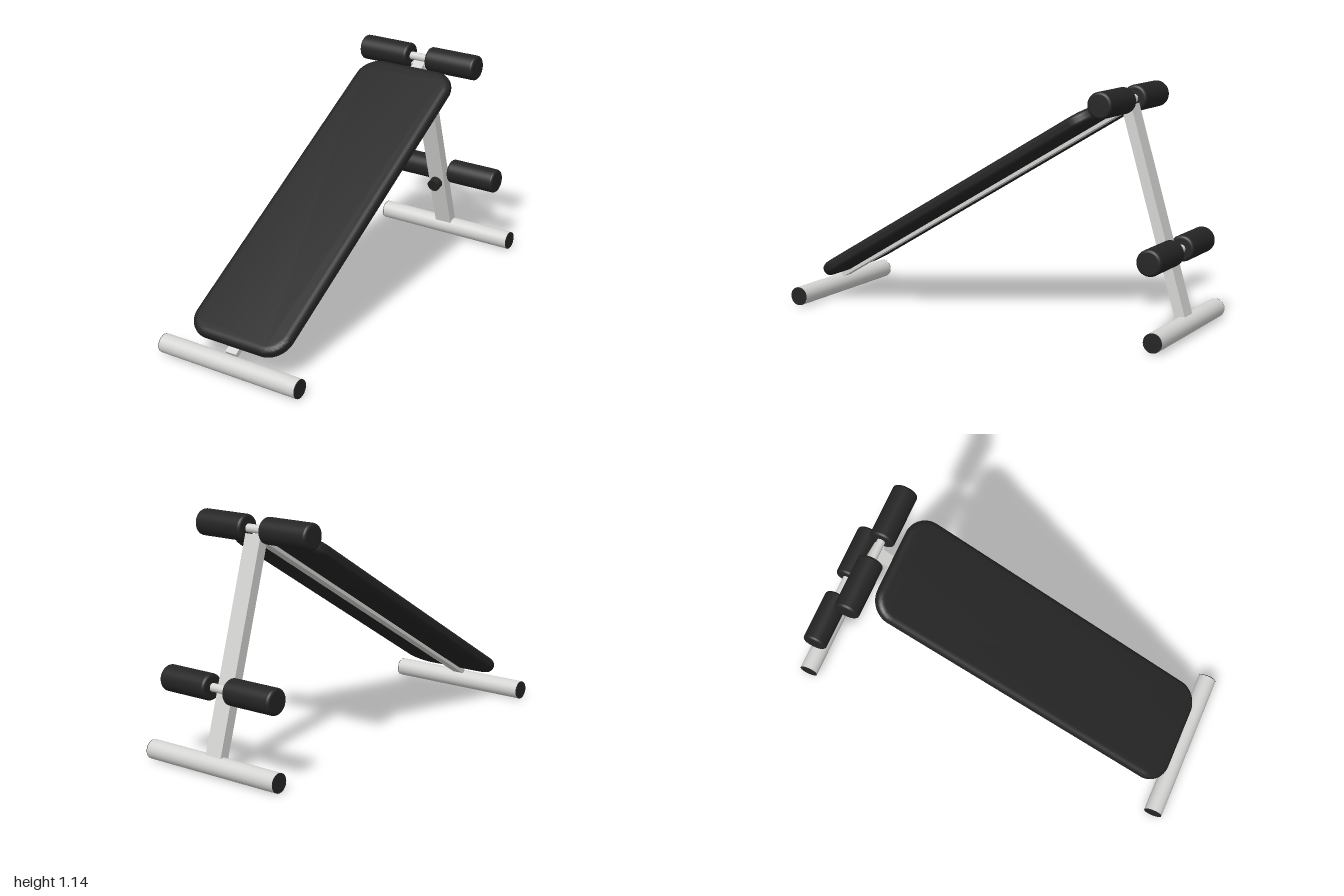
import * as THREE from 'three';
import { toCreasedNormals } from 'three/addons/utils/BufferGeometryUtils.js';

const black = new THREE.MeshStandardMaterial({ color: 0x242424 });
black.name = 'black padding';
const steel = new THREE.MeshStandardMaterial({ color: 0xd4d4d2 });
steel.name = 'bright steel';

const CX = -0.005; // centre of the frame across the width

function add(parent, name, geometry, material, x = 0, y = 0, z = 0) {
  const mesh = new THREE.Mesh(geometry, material);
  mesh.name = name;
  mesh.position.set(x, y, z);
  parent.add(mesh);
  return mesh;
}

// Cylinder lying along x
function rod(radius, length) {
  return new THREE.CylinderGeometry(radius, radius, length, 32).rotateZ(Math.PI / 2);
}

// Foam roller along x with softly rounded rims
function rollerGeometry(radius, length) {
  const h = length / 2, b = 0.014;
  const profile = [[0, -h], [radius - b, -h]];
  for (let i = 1; i <= 4; i++) {
    const a = (i / 4) * Math.PI / 2;
    profile.push([radius - b + b * Math.sin(a), -h + b - b * Math.cos(a)]);
  }
  for (let i = 0; i <= 4; i++) {
    const a = (i / 4) * Math.PI / 2;
    profile.push([radius - b + b * Math.cos(a), h - b + b * Math.sin(a)]);
  }
  profile.push([0, h]);
  const points = profile.map(([x, y]) => new THREE.Vector2(x, y));
  return new THREE.LatheGeometry(points, 32).rotateZ(Math.PI / 2);
}

// Cushion: rounded rectangle with a fully rounded edge
function padGeometry(width, length, thickness, corner) {
  const edge = thickness / 2 - 0.002;
  const w = width / 2 - edge, l = length / 2 - edge, r = corner - edge;
  const s = new THREE.Shape();
  s.moveTo(-w + r, -l);
  s.lineTo(w - r, -l);
  s.absarc(w - r, -l + r, r, -Math.PI / 2, 0);
  s.lineTo(w, l - r);
  s.absarc(w - r, l - r, r, 0, Math.PI / 2);
  s.lineTo(-w + r, l);
  s.absarc(-w + r, l - r, r, Math.PI / 2, Math.PI);
  s.lineTo(-w, -l + r);
  s.absarc(-w + r, -l + r, r, Math.PI, Math.PI * 1.5);
  const g = new THREE.ExtrudeGeometry(s, {
    depth: 0.004, bevelEnabled: true, bevelSize: edge, bevelThickness: edge,
    bevelSegments: 6, curveSegments: 12,
  });
  g.translate(0, 0, -0.002);
  return toCreasedNormals(g, 0.7);
}

export function createModel() {
  const model = new THREE.Group();
  model.name = 'inclinedBench';

  // Floor tubes with dark end caps
  for (const [name, z] of [['frontFoot', 0.954], ['rearFoot', -0.954]]) {
    const foot = new THREE.Group();
    foot.name = name;
    foot.position.set(0, 0.046, z);
    add(foot, 'footTube', rod(0.046, 0.766), steel);
    for (const side of [-1, 1]) add(foot, 'footCap', rod(0.0455, 0.006), black, side * 0.383);
    model.add(foot);
  }

  // Sloping seat: cushion and the beam under it
  const seat = new THREE.Group();
  seat.name = 'slopingSeat';
  seat.position.set(CX, 0.585, 0.179);
  seat.rotation.x = -THREE.MathUtils.degToRad(59.2);
  add(seat, 'pad', padGeometry(0.54, 1.76, 0.064, 0.115), black);
  add(seat, 'beam', new THREE.BoxGeometry(0.06, 1.86, 0.026), steel, 0, 0.025, -0.035);
  model.add(seat);

  // Rear post leaning forward, with its adjusting knob
  const post = new THREE.Group();
  post.name = 'rearPost';
  post.position.set(CX, 0.55, -0.806);
  post.rotation.x = THREE.MathUtils.degToRad(16.3);
  add(post, 'postTube', new THREE.BoxGeometry(0.092, 1.04, 0.05), steel);
  const knob = new THREE.CylinderGeometry(0.033, 0.033, 0.04, 24).rotateX(Math.PI / 2);
  add(post, 'knob', knob, black, 0, -0.22, 0.046);
  const stem = new THREE.CylinderGeometry(0.014, 0.014, 0.03, 16).rotateX(Math.PI / 2);
  add(post, 'knobStem', stem, steel, 0, -0.22, 0.03);
  model.add(post);

  // Leg supports: a bar with a foam roller on each side
  for (const [name, y, z] of [['upperSupport', 1.075, -0.655], ['lowerSupport', 0.388, -0.903]]) {
    const support = new THREE.Group();
    support.name = name;
    support.position.set(CX, y, z);
    add(support, 'bar', rod(0.02, 0.64), steel);
    for (const side of [-1, 1]) {
      add(support, 'foamRoller', rollerGeometry(0.062, 0.276), black, side * 0.192);
    }
    model.add(support);
  }
  return model;
}
